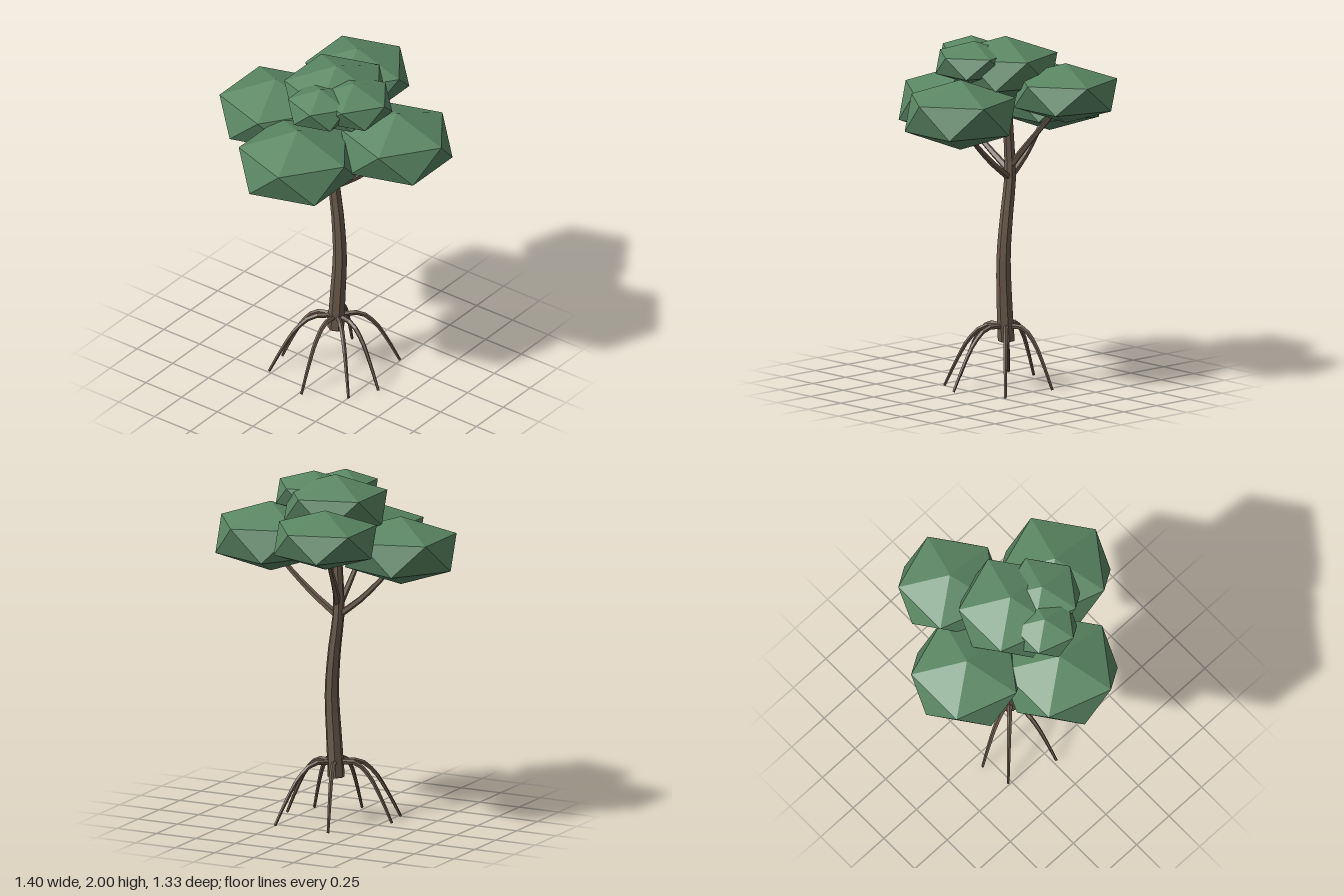
import * as THREE from 'three';

const bark = new THREE.MeshStandardMaterial({ color: 0x6b5b4d, flatShading: true, side: THREE.DoubleSide });
bark.name = 'bark brown';
const leaf = new THREE.MeshStandardMaterial({ color: 0x5a8663, flatShading: true });
leaf.name = 'leaf green';

const v = (p) => new THREE.Vector3(...p);

// Round limb along a curve, thinning from r0 to r1
function limb(name, points, r0, r1, segments, sides) {
  const curve = new THREE.CatmullRomCurve3(points.map(v));
  const geo = new THREE.TubeGeometry(curve, segments, 1, sides);
  const pos = geo.attributes.position;
  const p = new THREE.Vector3();
  for (let i = 0; i < pos.count; i++) {
    const t = Math.floor(i / (sides + 1)) / segments;
    const c = curve.getPointAt(t);
    p.fromBufferAttribute(pos, i).sub(c).multiplyScalar(r0 + (r1 - r0) * t).add(c);
    pos.setXYZ(i, p.x, p.y, p.z);
  }
  const mesh = new THREE.Mesh(geo, bark);
  mesh.name = name;
  return mesh;
}

// Squashed icosahedron standing on one corner
const TILT = Math.atan((1 + Math.sqrt(5)) / 2);
function foliage(name, [x, y, z], ring, halfHeight) {
  const geo = new THREE.IcosahedronGeometry(1, 0);
  geo.rotateX(-TILT).rotateY(Math.PI / 2);
  geo.scale(ring / 0.894, halfHeight, ring / 0.894);
  const mesh = new THREE.Mesh(geo, leaf);
  mesh.position.set(x, y, z);
  mesh.name = name;
  return mesh;
}

export function createModel() {
  const tree = new THREE.Group();
  tree.name = 'stiltRootTree';

  // Gently bent trunk with closed ends
  const base = [-0.005, 0.26, -0.03];
  const top = [-0.01, 1.56, -0.035];
  tree.add(limb('trunk', [base, [0.01, 0.5, -0.03], [0.02, 0.75, -0.035],
    [0, 1.0, -0.04], [-0.025, 1.2, -0.04], [-0.02, 1.4, -0.035], top], 0.049, 0.028, 14, 7));
  for (const [name, p, r, turn] of [['trunkBase', base, 0.048, 1], ['trunkTop', top, 0.028, -1]]) {
    const cap = new THREE.Mesh(new THREE.CircleGeometry(r, 7), bark);
    cap.rotation.x = turn * Math.PI / 2;
    cap.position.set(...p);
    cap.name = name;
    tree.add(cap);
  }

  // Branches reaching into the lower foliage: start, middle, end
  const branches = {
    branchRight: [[-0.02, 1.19, -0.04], [-0.17, 1.31, -0.02], [-0.37, 1.53, 0.02]],
    branchLeft: [[-0.02, 1.19, -0.04], [0.14, 1.31, -0.05], [0.37, 1.53, -0.07]],
    branchFront: [[-0.02, 1.23, -0.04], [-0.01, 1.31, 0.08], [0.01, 1.49, 0.32]],
    branchBack: [[-0.02, 1.25, -0.04], [-0.05, 1.37, -0.13], [-0.11, 1.63, -0.35]],
  };
  for (const [name, pts] of Object.entries(branches)) tree.add(limb(name, pts, 0.021, 0.012, 6, 5));

  // Stilt roots: foot positions on the ground
  const feet = [[0.34, 0.035], [0.255, 0.2], [0.02, 0.325], [-0.27, 0.24],
    [-0.305, 0.07], [-0.1, -0.305], [0.245, -0.29]];
  const arch = [[0, 0.335], [0.2, 0.347], [0.38, 0.34], [0.6, 0.27], [0.8, 0.15], [1, 0.004]];
  for (const [fx, fz] of feet) {
    const pts = arch.map(([t, y]) => [fx * t, y, -0.03 + (fz + 0.03) * t]);
    tree.add(limb('stiltRoot', pts, 0.016, 0.008, 10, 5));
  }

  // Foliage clumps: centre, ring radius, half height
  tree.add(
    foliage('foliageFront', [0.015, 1.565, 0.357], 0.328, 0.207),
    foliage('foliageRight', [-0.385, 1.595, 0.026], 0.315, 0.195),
    foliage('foliageLeft', [0.387, 1.612, -0.072], 0.313, 0.2),
    foliage('foliageBack', [-0.125, 1.712, -0.387], 0.291, 0.17),
    foliage('foliageCrown', [0, 1.82, -0.027], 0.292, 0.18),
    foliage('foliageUpperLeft', [0.175, 1.86, 0.045], 0.216, 0.125),
    foliage('foliageUpperFront', [0.055, 1.862, 0.195], 0.182, 0.115),
  );
  return tree;
}
